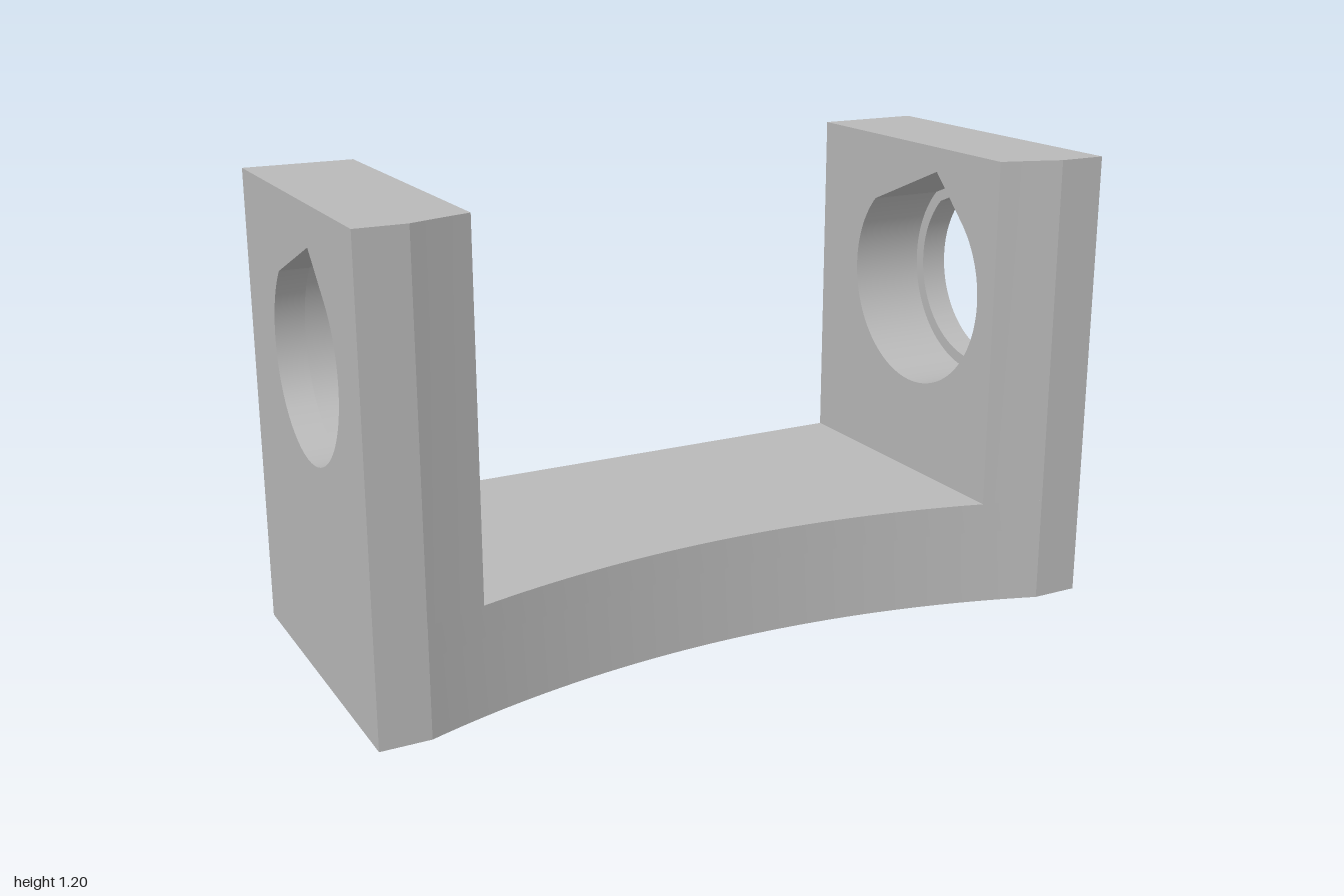
import * as THREE from 'three';
import { toCreasedNormals } from 'three/addons/utils/BufferGeometryUtils.js';

const BACK = -0.433, FRONT = 0.43, HEIGHT = 1.2;
const INNER_X = 0.715, STEP_X = 0.925, FLOOR_Y = 0.28, POCKET_Y = 0.2;
const ARC_X = 0.872, ARC_Z = 0.275, ARC_R = 2.53;
const BORE_Y = 0.818, BORE_Z = 0.027;

// z of the hollowed front at a given x
function frontZ(x) {
  if (Math.abs(x) >= ARC_X) return FRONT;
  return Math.min(FRONT, ARC_Z + ARC_R - Math.sqrt(ARC_R * ARC_R - x * x));
}

// horizontal slab with the curved front, between two heights
function slab(y0, y1, withHoles) {
  const shape = new THREE.Shape();
  shape.moveTo(-1, -FRONT);
  const n = 48;
  for (let i = 0; i <= n; i++) {
    const x = ARC_X * (2 * i / n - 1);
    shape.lineTo(x, -frontZ(x));
  }
  shape.lineTo(1, -FRONT);
  shape.lineTo(1, -BACK);
  shape.lineTo(-1, -BACK);
  shape.closePath();
  if (withHoles) {
    for (const s of [-1, 1]) {
      shape.holes.push(new THREE.Path().absarc(s * 0.74, -BORE_Z, 0.102, 0, Math.PI * 2, true));
    }
  }
  const geo = new THREE.ExtrudeGeometry(shape, { depth: y1 - y0, bevelEnabled: false, curveSegments: 48 });
  geo.rotateX(-Math.PI / 2).translate(0, y0, 0);
  return toCreasedNormals(geo, 0.3);
}

// upright layer between two x positions, pierced by a flat-topped teardrop bore
function uprightLayer(x0, x1, r, steps) {
  const shape = new THREE.Shape();
  shape.moveTo(-FRONT, FLOOR_Y);
  shape.lineTo(-BACK, FLOOR_Y);
  shape.lineTo(-BACK, HEIGHT);
  shape.lineTo(-FRONT, HEIGHT);
  shape.closePath();

  const bore = new THREE.Path();
  bore.moveTo(-BORE_Z + 0.294 * r, BORE_Y + 1.12 * r);
  bore.absarc(-BORE_Z, BORE_Y, r, Math.PI / 4, Math.PI * 3 / 4, true);
  bore.lineTo(-BORE_Z - 0.294 * r, BORE_Y + 1.12 * r);
  bore.closePath();
  shape.holes.push(bore);

  const geo = new THREE.ExtrudeGeometry(shape, { depth: x1 - x0, steps, bevelEnabled: false, curveSegments: 48 });
  geo.rotateY(Math.PI / 2).translate(x0, 0, 0);
  // bend the front edge onto the hollow curve
  const p = geo.attributes.position;
  for (let i = 0; i < p.count; i++) {
    if (p.getZ(i) > FRONT - 0.001) p.setZ(i, frontZ(p.getX(i)));
  }
  return toCreasedNormals(geo, 0.3);
}

export function createModel() {
  const group = new THREE.Group();
  const grey = new THREE.MeshStandardMaterial({ color: 0xb8b8b8 });
  grey.name = 'plain grey';
  const add = (name, geo, parent = group) => {
    const mesh = new THREE.Mesh(geo, grey);
    mesh.name = name;
    parent.add(mesh);
  };

  // base with two blind screw holes underneath
  add('baseWithScrewHoles', slab(0, POCKET_Y, true));
  add('baseFloor', slab(POCKET_Y, FLOOR_Y, false));

  // uprights: narrow bore outside, wider bearing seat inside
  for (const s of [-1, 1]) {
    const upright = new THREE.Group();
    upright.name = s > 0 ? 'leftUpright' : 'rightUpright';
    const layer = (a, b, r, steps) => uprightLayer(Math.min(s * a, s * b), Math.max(s * a, s * b), r, steps);
    add('outerLip', layer(STEP_X, 1, 0.251, 1), upright);
    add('bearingSeat', layer(INNER_X, STEP_X, 0.283, 4), upright);
    group.add(upright);
  }
  return group;
}
